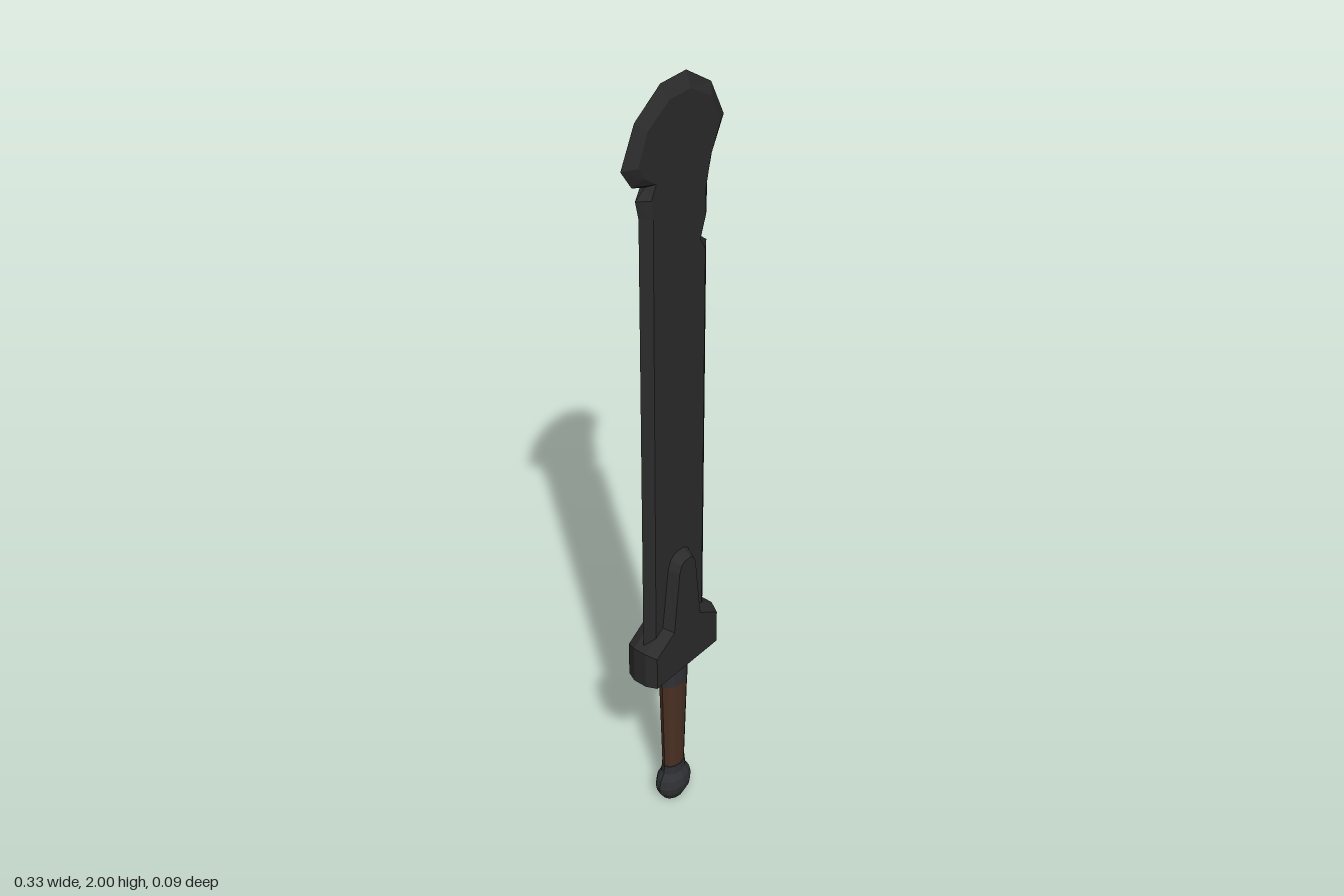
import * as THREE from 'three';

const material = (name, color) => Object.assign(new THREE.MeshStandardMaterial({ color }), { name });

// Flat-shaded solid through matching counter-clockwise outlines stacked along z
function loftZ(rings) {
  const pos = [];
  const n = rings[0].points.length;
  const put = (r, i) => pos.push(r.points[i % n][0], r.points[i % n][1], r.z);
  for (let k = 0; k < rings.length - 1; k++) {
    const lo = rings[k], hi = rings[k + 1];
    for (let i = 0; i < n; i++) {
      put(lo, i); put(lo, i + 1); put(hi, i + 1);
      put(lo, i); put(hi, i + 1); put(hi, i);
    }
  }
  const back = rings[0], front = rings[rings.length - 1];
  const outline = front.points.map(([x, y]) => new THREE.Vector2(x, y));
  for (const [a, b, c] of THREE.ShapeUtils.triangulateShape(outline, [])) {
    put(front, a); put(front, b); put(front, c);
    put(back, a); put(back, c); put(back, b);
  }
  const g = new THREE.BufferGeometry();
  g.setAttribute('position', new THREE.Float32BufferAttribute(pos, 3));
  g.computeVertexNormals();
  return g;
}

// Faceted oval turning, narrower in depth than in width
function turned(profile, depth) {
  const points = profile.map(([r, y]) => new THREE.Vector2(r, y));
  const g = new THREE.LatheGeometry(points, 12).scale(1, 1, depth).toNonIndexed();
  g.computeVertexNormals();
  return g;
}

// Right half of a symmetric outline, bottom to top, mirrored to the left
const mirrored = (half) => [...half, ...half.map(([x, y]) => [-x, y]).reverse()];

export function createModel() {
  const steel = material('dark steel', 0x2b2b2b);
  const fittings = material('handle iron', 0x303134);
  const leather = material('brown leather', 0x4a3023);
  const sword = new THREE.Group();
  sword.name = 'sword';
  const add = (name, geometry, mat) => {
    const mesh = new THREE.Mesh(geometry, mat);
    mesh.name = name;
    sword.add(mesh);
  };

  // Blade: sharp outer edge at z = 0, flat faces inset from it, notched on both sides
  const edge = [
    [0.11, 0.5], [0.11, 1.58], [0.08, 1.605], [0.11, 1.65], [0.11, 1.72], [0.125, 1.78],
    [0.163, 1.855], [0.12, 1.945], [0.04, 2], [-0.04, 2], [-0.12, 1.945], [-0.163, 1.855],
    [-0.13, 1.805], [-0.09, 1.79], [-0.12, 1.77], [-0.11, 1.725], [-0.11, 0.5],
  ];
  const face = [
    [0.085, 0.5], [0.085, 1.575], [0.068, 1.605], [0.085, 1.655], [0.085, 1.72], [0.1, 1.79],
    [0.13, 1.855], [0.1, 1.925], [0.033, 1.968], [-0.033, 1.968], [-0.1, 1.925], [-0.13, 1.855],
    [-0.112, 1.825], [-0.075, 1.797], [-0.09, 1.765], [-0.085, 1.72], [-0.085, 0.5],
  ];
  add('blade', loftZ([
    { points: face, z: -0.018 }, { points: edge, z: 0 }, { points: face, z: 0.018 },
  ]), steel);

  // Guard: block with a tapering tongue up each face of the blade, bevelled edges
  const guardSide = mirrored([
    [0.124, 0.46], [0.124, 0.562], [0.06, 0.603], [0.04, 0.768], [0.031, 0.792], [0.015, 0.803],
  ]);
  const guardFace = mirrored([
    [0.112, 0.46], [0.112, 0.553], [0.048, 0.594], [0.029, 0.763], [0.022, 0.782], [0.011, 0.79],
  ]);
  add('guard', loftZ([
    { points: guardFace, z: -0.044 }, { points: guardSide, z: -0.018 },
    { points: guardSide, z: 0.018 }, { points: guardFace, z: 0.044 },
  ]), steel);

  // Handle: collar, wrapped grip and pommel
  add('collar', turned([[0, 0.39], [0.043, 0.39], [0.044, 0.465], [0, 0.465]], 0.68), fittings);
  add('grip', turned([[0, 0.105], [0.033, 0.105], [0.042, 0.39], [0, 0.39]], 0.68), leather);
  add('pommel', turned([
    [0, 0], [0.034, 0], [0.05, 0.025], [0.054, 0.045], [0.049, 0.068], [0.036, 0.088],
    [0.035, 0.113], [0, 0.113],
  ], 0.7), fittings);

  return sword;
}
